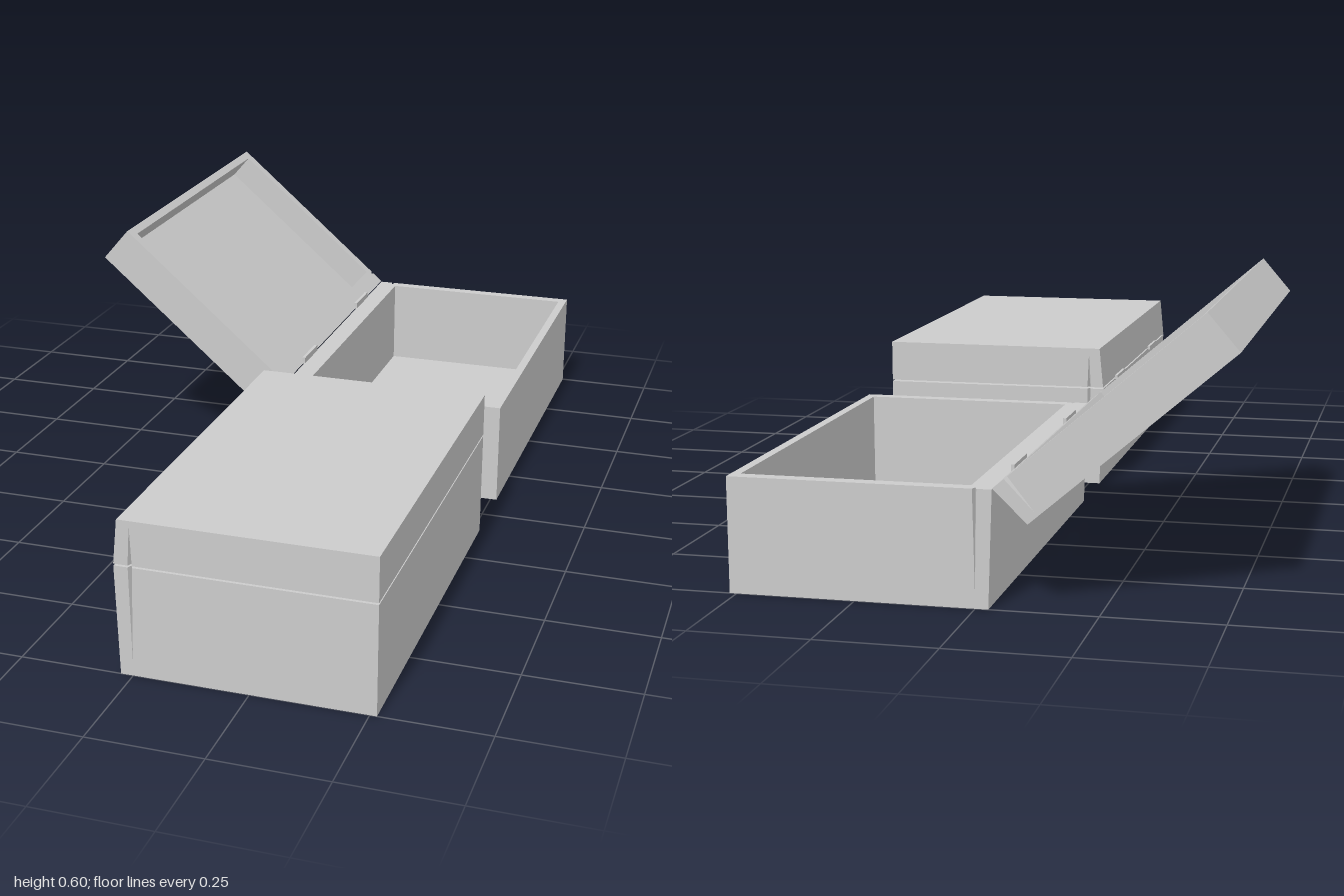
import * as THREE from 'three';
import { mergeGeometries } from 'three/addons/utils/BufferGeometryUtils.js';

const material = new THREE.MeshStandardMaterial({ color: 0xcccccc, flatShading: true });
const HALF_Z = 0.453, RIGHT = 0.515, SEAM = 0.243, TOP = 0.345, LID_H = 0.098;
const PIVOT = [-0.036, 0.246];

// Outline of a tray; open = 0..1 widens the small wedge notch in both end walls.
function outline(back, open) {
  const side = [
    [back, HALF_Z], [-0.005 * open, HALF_Z], [0, HALF_Z - 0.012 * open],
    [0.004 * open, HALF_Z], [RIGHT, HALF_Z],
  ];
  return [...side, ...side.map(([x, z]) => [x, -z]).reverse()];
}

// Walls joining a stack of rings, each { y, points }.
function walls(rings) {
  const pos = [];
  for (let r = 0; r < rings.length - 1; r++) {
    const lo = rings[r], hi = rings[r + 1], n = lo.points.length;
    for (let i = 0; i < n; i++) {
      const j = (i + 1) % n;
      const v = (ring, k) => [ring.points[k][0], ring.y, ring.points[k][1]];
      pos.push(...v(lo, i), ...v(lo, j), ...v(hi, j), ...v(lo, i), ...v(hi, j), ...v(hi, i));
    }
  }
  const g = new THREE.BufferGeometry();
  g.setAttribute('position', new THREE.Float32BufferAttribute(pos, 3));
  g.computeVertexNormals();
  return g;
}

// Horizontal face, with an optional hole.
function cap(points, y, up, hole) {
  const toVec = ([x, z]) => new THREE.Vector2(x, up ? -z : z);
  const shape = new THREE.Shape(points.map(toVec));
  if (hole) shape.holes.push(new THREE.Path(hole.map(toVec)));
  const g = new THREE.ShapeGeometry(shape).toNonIndexed();
  g.deleteAttribute('uv');
  return g.rotateX(up ? -Math.PI / 2 : Math.PI / 2).translate(0, y, 0);
}

// Hollow tray standing on y = 0 with its rim at y = height.
function tray(name, height, floor, notchStart) {
  const backAt = (y) => -0.027 - 0.009 * (y / height);
  const ringAt = (y, open) => ({ y, points: outline(backAt(y), open) });
  const bottom = ringAt(0, 0), rim = ringAt(height, 1);
  const cavity = [[0.013, 0.425], [0.495, 0.425], [0.495, -0.425], [0.013, -0.425]];
  const inward = [...cavity].reverse();
  const base = [[-0.027, HALF_Z], [RIGHT, HALF_Z], [RIGHT, -HALF_Z], [-0.027, -HALF_Z]];
  const geometry = mergeGeometries([
    walls([bottom, ringAt(notchStart, 0), rim]),
    walls([{ y: floor, points: inward }, { y: height, points: inward }]),
    cap(base, 0, false),
    cap(cavity, floor, true),
    cap(rim.points, height, true, cavity),
  ].map((g) => { g.deleteAttribute('uv'); return g; }));
  const mesh = new THREE.Mesh(geometry, material);
  mesh.name = name;
  return mesh;
}

// One box with its lid turned by the given angle about the back edge.
function hingedBox(name, centreZ, angle) {
  const box = new THREE.Group();
  box.name = name;
  box.add(tray('base', SEAM, 0.025, 0.03));

  const lid = tray('lid', LID_H, 0.03, 0.01);
  lid.rotation.x = Math.PI;
  lid.position.set(-PIVOT[0], TOP - PIVOT[1], 0);
  const lidPivot = new THREE.Group();
  lidPivot.name = 'lidPivot';
  lidPivot.position.set(PIVOT[0], PIVOT[1], 0);
  lidPivot.rotation.z = angle;
  lidPivot.add(lid);
  box.add(lidPivot);

  // Hinge plates along the back edge
  const h = angle ? 0.017 : 0.01;
  for (const s of [-1, 1]) {
    const hinge = new THREE.Mesh(new THREE.BoxGeometry(0.008, h, 0.105), material);
    hinge.name = 'hinge';
    hinge.position.set(-0.038, 0.241 + h / 2, s * 0.241);
    box.add(hinge);
  }
  box.position.z = centreZ;
  return box;
}

export function createModel() {
  const model = new THREE.Group();
  model.name = 'hingedBoxes';
  model.add(hingedBox('closedBox', 0.547, 0));
  model.add(hingedBox('openBox', -0.547, THREE.MathUtils.degToRad(139.4)));
  return model;
}
